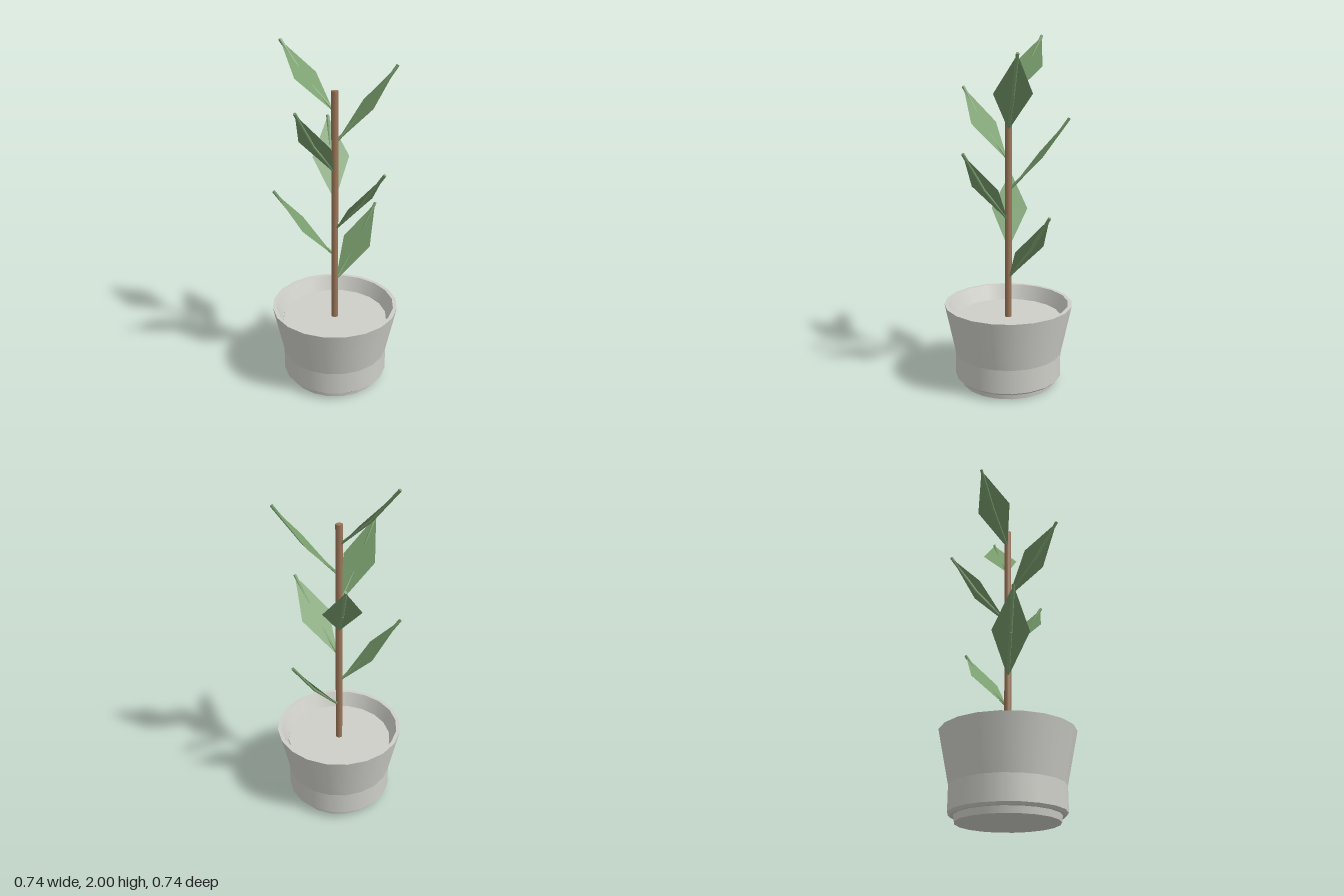
import * as THREE from 'three';
import { mergeGeometries } from 'three/addons/utils/BufferGeometryUtils.js';

const ceramic = new THREE.MeshStandardMaterial({ name: 'pale grey', color: 0xcfcfc9 });
const bark = new THREE.MeshStandardMaterial({ name: 'brown', color: 0x9d7759 });
const green = new THREE.MeshStandardMaterial({ name: 'leaf green', color: 0x7a9f6e, side: THREE.DoubleSide });

// Lathe that is smooth around the axis but sharp at every profile corner
function ringLathe(profile, sides) {
  const bands = [];
  for (let i = 0; i < profile.length - 1; i++) {
    const pair = [profile[i], profile[i + 1]].map(([r, y]) => new THREE.Vector2(r, y));
    bands.push(new THREE.LatheGeometry(pair, sides));
  }
  return mergeGeometries(bands);
}

// Straight six-sided rod between two points
function rod(a, b, r0, r1) {
  const dir = b.clone().sub(a);
  const geo = new THREE.CylinderGeometry(r1, r0, dir.length(), 6);
  geo.applyQuaternion(new THREE.Quaternion().setFromUnitVectors(new THREE.Vector3(0, 1, 0), dir.normalize()));
  const mid = a.clone().add(b).multiplyScalar(0.5);
  return geo.translate(mid.x, mid.y, mid.z);
}

// Diamond blade growing along +x and upwards, with its midrib just beneath
function createLeaf(steepness) {
  const leaf = new THREE.Group();
  const at = (x, y, z = 0) => new THREE.Vector3(x, y * steepness, z);
  const blade = new THREE.BufferGeometry().setFromPoints([
    at(0.005, 0), at(0.182, 0.203, 0.106), at(0.338, 0.4), at(0.182, 0.203, -0.106),
  ]);
  blade.setIndex([0, 1, 3, 1, 2, 3]);
  blade.computeVertexNormals();
  const bladeMesh = new THREE.Mesh(blade, green);
  bladeMesh.name = 'leafBlade';

  const bend = at(0.188, 0.193);
  const rib = mergeGeometries([
    rod(at(0, 0), bend, 0.008, 0.008),
    rod(bend, at(0.34, 0.405), 0.008, 0.009),
  ]);
  const ribMesh = new THREE.Mesh(rib, green);
  ribMesh.name = 'leafRib';
  leaf.add(bladeMesh, ribMesh);
  return leaf;
}

export function createModel() {
  const plant = new THREE.Group();
  plant.name = 'pottedPlant';

  // Pot with recessed foot, straight band and flared upper wall
  const pot = new THREE.Mesh(ringLathe([
    [0, 0], [0.275, 0], [0.28, 0.035], [0.297, 0.035], [0.311, 0.048],
    [0.311, 0.185], [0.372, 0.475], [0.349, 0.475], [0.31, 0.38],
  ], 20), ceramic);
  pot.name = 'pot';

  // Filling inside the pot
  const soil = new THREE.Mesh(ringLathe([[0.313, 0.375], [0.309, 0.39], [0, 0.39]], 20), ceramic);
  soil.name = 'soil';

  // Stem
  const stem = new THREE.Mesh(new THREE.CylinderGeometry(0.02, 0.02, 1.38, 12), bark);
  stem.position.y = 1.07;
  stem.name = 'stem';
  plant.add(pot, soil, stem);

  // Leaves spiral up the stem by the golden angle
  for (let i = 0; i < 7; i++) {
    const leaf = createLeaf(i === 6 ? 0.87 : 1);
    leaf.name = `leaf${i + 1}`;
    leaf.position.y = 0.625 + i * 0.17;
    leaf.rotation.y = THREE.MathUtils.degToRad(137.5 * i);
    plant.add(leaf);
  }
  return plant;
}
